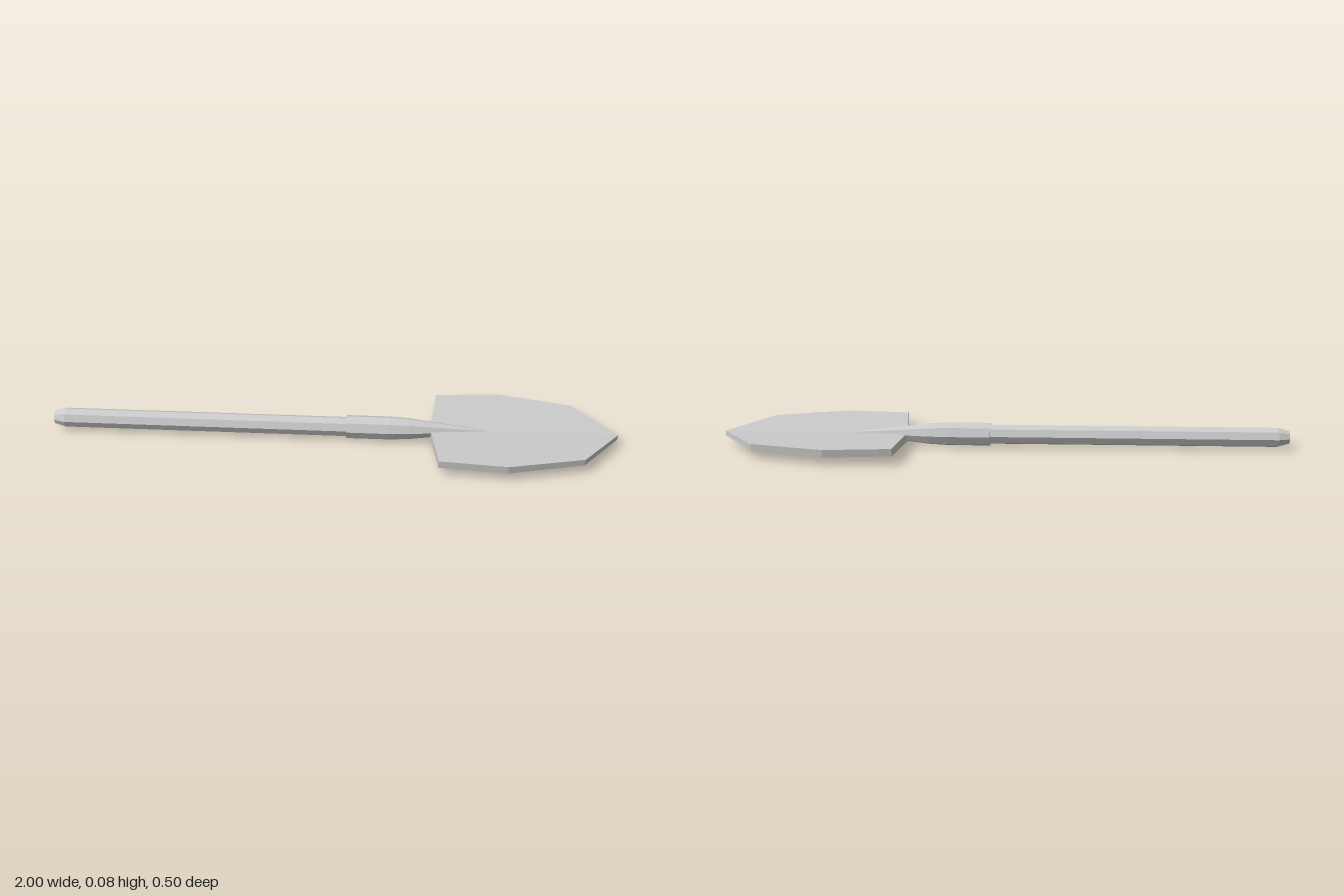
import * as THREE from 'three';

const material = new THREE.MeshStandardMaterial({ color: 0xcccccc, flatShading: true });
const AXIS_Y = 0.044;

// Eight-sided rod along x from [x, radius] pairs, with a corner on top
function rod(name, profile) {
  const points = profile.map(([x, r]) => new THREE.Vector2(r, x));
  const geometry = new THREE.LatheGeometry(points, 8);
  geometry.rotateZ(-Math.PI / 2);
  geometry.translate(0, AXIS_Y, 0);
  const mesh = new THREE.Mesh(geometry, material);
  mesh.name = name;
  return mesh;
}

// Shallow V-shaped plate, built from cross-sections running towards the tip
function createBlade() {
  // spine x, edge x, half width, edge top, edge bottom, spine top, spine bottom
  const stations = [
    [0.345, 0.37, 0.228, 0.057, 0.03, 0.046, 0.016],
    [0.6, 0.6, 0.248, 0.057, 0.03, 0.046, 0.016],
    [0.86, 0.86, 0.183, 0.055, 0.032, 0.046, 0.022],
    [1, 1, 0, 0.046, 0.028, 0.046, 0.028],
  ];
  const positions = [];
  const index = [];
  // Ring order: top left edge, top spine, top right edge, then back underneath
  stations.forEach(([sx, ex, w, et, eb, st, sb]) => positions.push(
    ex, et, w, sx, st, 0, ex, et, -w,
    ex, eb, -w * 0.99, sx, sb, 0, ex, eb, w * 0.99,
  ));
  for (let s = 0; s < stations.length - 1; s++) {
    for (let i = 0; i < 6; i++) {
      const a = s * 6 + i;
      const b = s * 6 + (i + 1) % 6;
      index.push(a, a + 6, b, b, a + 6, b + 6);
    }
  }
  // Rear edge
  index.push(0, 1, 5, 1, 4, 5, 1, 2, 4, 2, 3, 4);
  const geometry = new THREE.BufferGeometry();
  geometry.setAttribute('position', new THREE.Float32BufferAttribute(positions, 3));
  geometry.setIndex(index);
  geometry.computeVertexNormals();
  const mesh = new THREE.Mesh(geometry, material);
  mesh.name = 'blade';
  return mesh;
}

export function createModel() {
  const group = new THREE.Group();
  group.name = 'shovel';
  group.add(
    // Shaft with a chamfered end
    rod('handle', [[-1, 0], [-1, 0.024], [-0.96, 0.035], [0.12, 0.035], [0.12, 0]]),
    // Collar tapering to a point on the blade
    rod('socket', [[0.05, 0], [0.05, 0.042], [0.2, 0.042], [0.27, 0.038], [0.35, 0.028], [0.58, 0]]),
    createBlade(),
  );
  return group;
}
